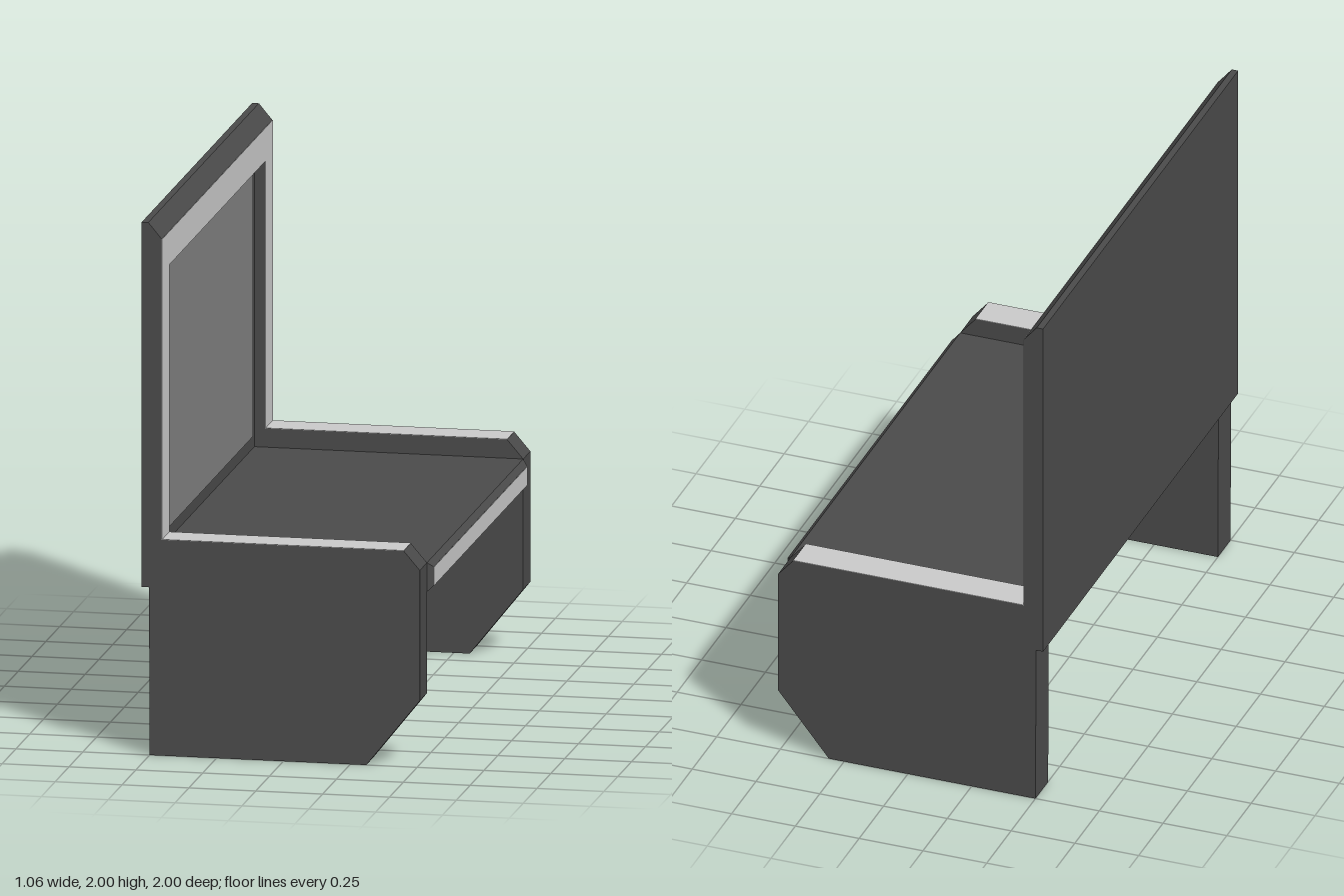
import * as THREE from 'three';

const flat = (name, color) => {
  const m = new THREE.MeshStandardMaterial({ color });
  m.name = name;
  return m;
};

export function createModel() {
  const dark = flat('darkGrey', 0x4a4a4a);
  const mid = flat('midGrey', 0x808080);
  const light = flat('lightGrey', 0xc9c9c9);

  const bench = new THREE.Group();
  bench.name = 'bench';

  const add = (name, geometry, material) => {
    const mesh = new THREE.Mesh(geometry, material);
    mesh.name = name;
    bench.add(mesh);
    return mesh;
  };
  // Box given by its limits on each axis
  const box = (name, material, [x0, x1], [y0, y1], [z0, z1]) => {
    const mesh = add(name, new THREE.BoxGeometry(x1 - x0, y1 - y0, z1 - z0), material);
    mesh.position.set((x0 + x1) / 2, (y0 + y1) / 2, (z0 + z1) / 2);
  };
  // Side profile in x and y, extruded from z0 to z1
  const slab = (name, material, points, z0, z1) => {
    const shape = new THREE.Shape(points.map(([x, y]) => new THREE.Vector2(x, y)));
    const geo = new THREE.ExtrudeGeometry(shape, { depth: z1 - z0, bevelEnabled: false });
    add(name, geo, material).position.z = z0;
  };

  const back = -0.53, face = -0.455, floor = -0.495; // depths of the backrest
  const inner = 0.87, recessTop = 1.815, skin = 0.002;

  // Backrest: rear board and bevelled top rail
  box('backBoard', dark, [back, floor], [0.63, recessTop], [-1, 1]);
  slab('topRail', dark, [[back, recessTop], [face, recessTop], [face, 1.94],
    [-0.505, 2], [back, 2]], -1, 1);
  box('topRailFace', light, [face, face + skin], [recessTop, 1.94], [-1, 1]);
  box('backPanel', mid, [floor, floor + 0.005], [0.79, recessTop], [-0.82, 0.82]);

  // Sides: end panel, armrest top, and stile of the backrest frame
  const sideProfile = [[-0.5, 0], [0.31, 0], [0.51, 0.25], [0.51, 0.74],
    [0.45, 0.81], [-0.503, 0.81]];
  for (const [side, z0, z1] of [['left', inner, 1], ['right', -1, -inner]]) {
    slab(side + 'EndPanel', dark, sideProfile, z0, z1);
    box(side + 'ArmrestTop', light, [face, 0.45], [0.81, 0.81 + skin], [z0, z1]);
    box(side + 'Stile', dark, [back, face], [0.8, recessTop], [z0, z1]);
    box(side + 'StileFace', light, [face, face + skin], [0.81, recessTop], [z0, z1]);
  }

  // Seat with a front edge that tapers on all four sides
  box('seat', dark, [floor, 0.51], [0.63, 0.74], [-inner, inner]);
  const edge = new THREE.BoxGeometry(0.02, 0.11, 2 * inner);
  const p = edge.attributes.position;
  for (let i = 0; i < p.count; i++) {
    if (p.getX(i) > 0) {
      p.setY(i, p.getY(i) * 0.64);
      p.setZ(i, p.getZ(i) * 0.972);
    }
  }
  const edgeGeo = edge.toNonIndexed();
  edgeGeo.computeVertexNormals();
  add('seatFrontBevel', edgeGeo, dark).position.set(0.52, 0.685, 0);
  box('seatFrontStrip', light, [0.53, 0.53 + skin], [0.65, 0.72], [-0.845, 0.845]);

  return bench;
}
